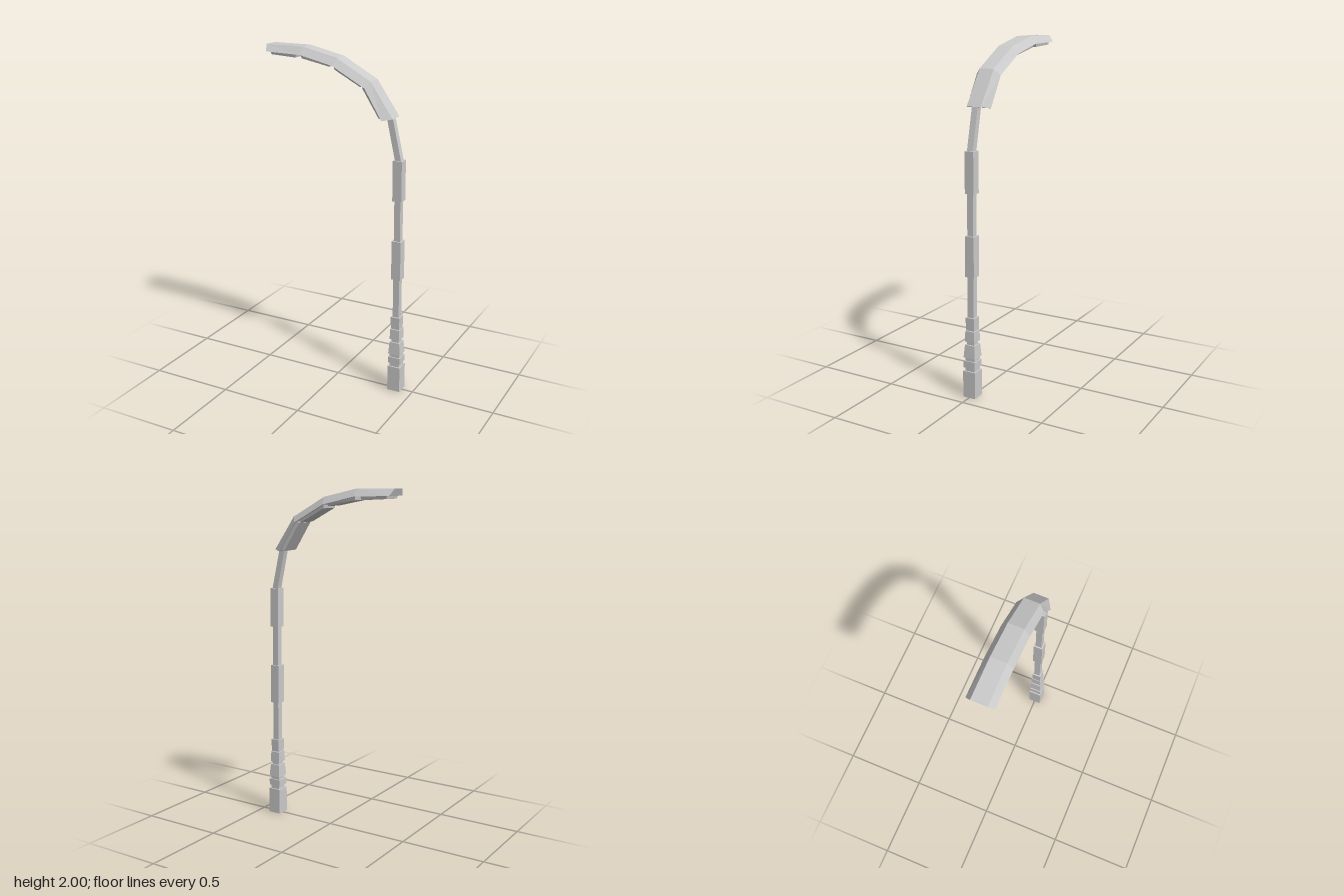
import * as THREE from 'three';

const grey = new THREE.MeshStandardMaterial({ color: 0xcccccc, flatShading: true });

// Closed solid through four-cornered rings (counterclockwise seen from the far end)
function loft(name, rings) {
  const pos = [];
  const quad = (a, b, c, d) => pos.push(...a, ...b, ...c, ...a, ...c, ...d);
  for (let k = 0; k < rings.length - 1; k++) {
    const lo = rings[k], hi = rings[k + 1];
    for (let i = 0; i < 4; i++) {
      const j = (i + 1) % 4;
      quad(lo[i], lo[j], hi[j], hi[i]);
    }
  }
  quad(...[...rings[0]].reverse());
  quad(...rings[rings.length - 1]);
  const geometry = new THREE.BufferGeometry();
  geometry.setAttribute('position', new THREE.Float32BufferAttribute(pos, 3));
  geometry.computeVertexNormals();
  const mesh = new THREE.Mesh(geometry, grey);
  mesh.name = name;
  return mesh;
}

// The pole leans very slightly as it rises
const poleX = (y) => 0.392 - 0.0085 * y;
const square = (y, h, x = poleX(y)) => [[x + h, y, h], [x + h, y, -h], [x - h, y, -h], [x - h, y, h]];

// Cross-section of the lamp head: top and bottom points with their half widths
const section = ([tx, ty], [bx, by], topW, botW) =>
  [[bx, by, -botW], [tx, ty, -topW], [tx, ty, topW], [bx, by, botW]];

export function createModel() {
  const model = new THREE.Group();
  model.name = 'streetLamp';

  // Stepped base: bottom y, top y, bottom half width, top half width
  const pole = new THREE.Group();
  pole.name = 'pole';
  const blocks = [
    ['baseBlock', 0, 0.157, 0.039, 0.039],
    ['baseNeck', 0.157, 0.178, 0.03, 0.03],
    ['baseRing', 0.178, 0.218, 0.037, 0.037],
    ['ringNeck', 0.218, 0.238, 0.03, 0.03],
    ['taperedBlock', 0.238, 0.313, 0.037, 0.031],
    ['taperNeck', 0.313, 0.331, 0.023, 0.023],
    ['lowerCollar', 0.331, 0.395, 0.031, 0.029],
    ['upperCollar', 0.398, 0.473, 0.026, 0.028],
    ['lowerSleeve', 0.71, 0.943, 0.028, 0.028],
    ['upperSleeve', 1.18, 1.413, 0.0275, 0.0275],
  ];
  for (const [name, y0, y1, h0, h1] of blocks) pole.add(loft(name, [square(y0, h0), square(y1, h1)]));

  // Slim shaft that bends towards the head
  pole.add(loft('shaft', [
    square(0.3, 0.019), square(1.41, 0.0185), square(1.655, 0.018, 0.324),
  ]));
  model.add(pole);

  // Arched lamp head, a flat trapezoid section swept along the arc
  const head = new THREE.Group();
  head.name = 'lampHead';
  const top = [[-0.436, 2], [-0.2, 2], [0.013, 1.953], [0.22, 1.84], [0.355, 1.647]];
  const bottom = [[-0.42, 1.962], [-0.2, 1.957], [0.003, 1.911], [0.198, 1.806], [0.302, 1.638]];
  head.add(loft('headShell', top.map((t, i) => section(t, bottom[i], 0.044, 0.076))));

  // Light panels hung under each straight piece of the arc
  const panels = [
    [[-0.4, 1.968], [-0.395, 1.946], [-0.235, 1.962], [-0.24, 1.938]],
    [[-0.203, 1.962], [-0.2, 1.937], [-0.02, 1.92], [-0.023, 1.903]],
    [[0.003, 1.914], [0.007, 1.89], [0.18, 1.822], [0.163, 1.808]],
    [[0.188, 1.815], [0.174, 1.806], [0.3, 1.65], [0.279, 1.643]],
  ];
  panels.forEach(([a, b, c, d], i) => {
    head.add(loft('lightPanel' + (i + 1), [section(a, b, 0.063, 0.058), section(c, d, 0.063, 0.058)]));
  });
  model.add(head);
  return model;
}
